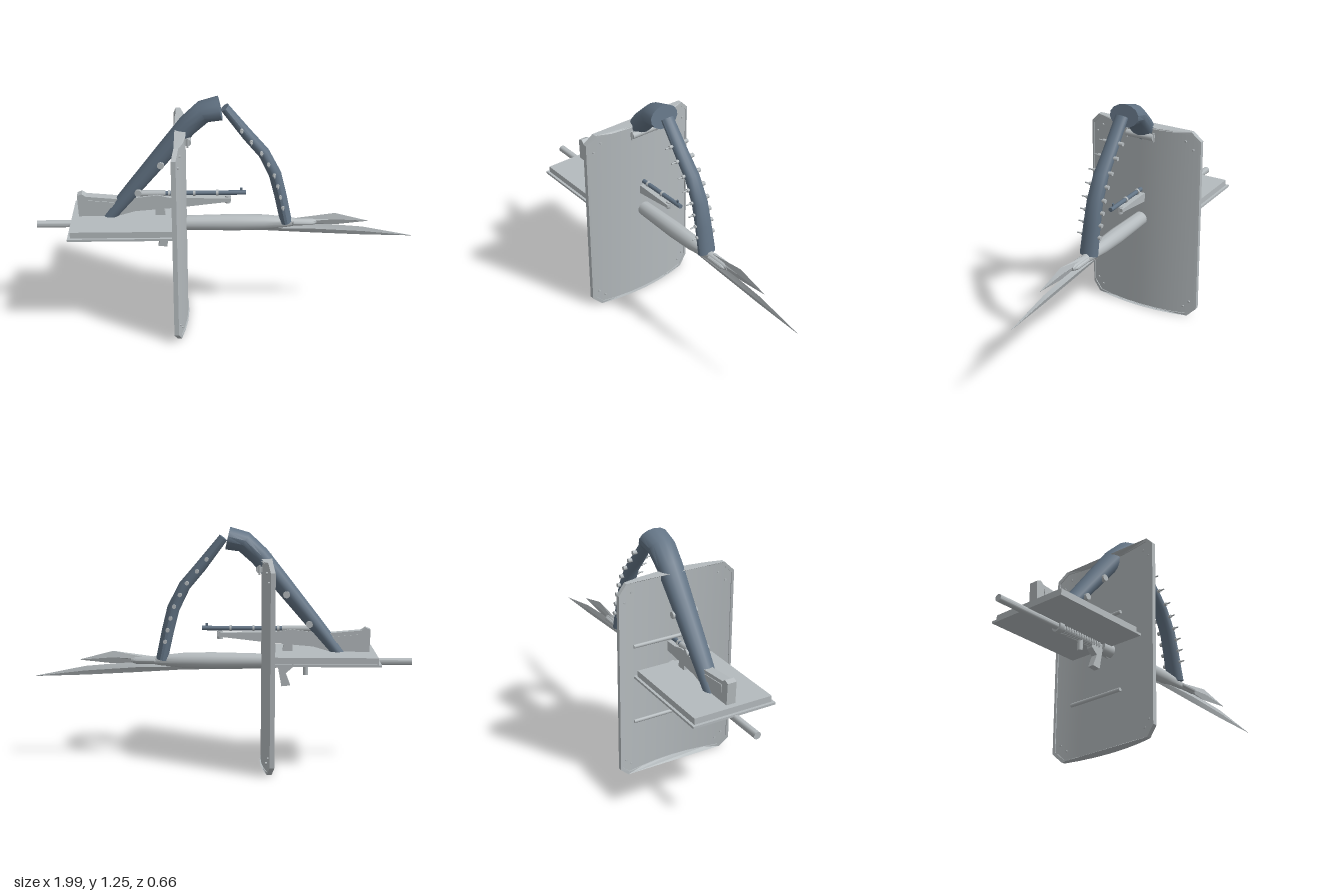
import * as THREE from 'three';
import { toCreasedNormals } from 'three/addons/utils/BufferGeometryUtils.js';

const steel = new THREE.MeshStandardMaterial({ color: 0xb4babd });
steel.name = 'pale steel';
const slate = new THREE.MeshStandardMaterial({ color: 0x627384 });
slate.name = 'slate blue';

const V = (x, y, z) => new THREE.Vector3(x, y, z);

function add(group, name, geometry, material, x = 0, y = 0, z = 0) {
  const mesh = new THREE.Mesh(geometry, material);
  mesh.name = name;
  mesh.position.set(x, y, z);
  group.add(mesh);
  return mesh;
}

// Joins equal-sized rings of points into a capped solid facing outward
function loft(rings, crease = 0.6) {
  const tris = [];
  const n = rings[0].length;
  for (let i = 0; i < rings.length - 1; i++) {
    for (let j = 0; j < n; j++) {
      const k = (j + 1) % n;
      const a = rings[i][j], b = rings[i][k], c = rings[i + 1][k], d = rings[i + 1][j];
      tris.push([a, b, c], [a, c, d]);
    }
  }
  const first = rings[0], last = rings[rings.length - 1];
  for (let j = 1; j < n - 1; j++) {
    tris.push([first[0], first[j + 1], first[j]], [last[0], last[j], last[j + 1]]);
  }
  const o = first[0];
  const volume = tris.reduce((s, [a, b, c]) => s + a.clone().sub(o).dot(b.clone().sub(o).cross(c.clone().sub(o))), 0);
  if (volume < 0) tris.forEach((t) => t.reverse());
  const g = new THREE.BufferGeometry().setFromPoints(tris.flat());
  return toCreasedNormals(g, crease);
}

// Oval limb along points [x, y, radius in plane, radius in z]
function limb(points, sides = 14) {
  return loft(points.map(([x, y, r, rz], i) => {
    const p = points[Math.max(i - 1, 0)], q = points[Math.min(i + 1, points.length - 1)];
    const len = Math.hypot(q[0] - p[0], q[1] - p[1]);
    const nx = -(q[1] - p[1]) / len, ny = (q[0] - p[0]) / len;
    return Array.from({ length: sides }, (_, j) => {
      const a = (j / sides) * Math.PI * 2;
      return V(x + nx * r * Math.cos(a), y + ny * r * Math.cos(a), rz * Math.sin(a));
    });
  }));
}

// Blade with diamond section from [x, top, bottom, half thickness]
const blade = (s) => loft(s.map(([x, t, b, h]) =>
  [V(x, t, 0), V(x, (t + b) / 2, h), V(x, b, 0), V(x, (t + b) / 2, -h)]), 0.2);

// Turned part along x from [x, radius]
function turned(profile, sides = 16) {
  const g = new THREE.LatheGeometry(profile.map(([x, r]) => new THREE.Vector2(r, x)), sides);
  return toCreasedNormals(g.rotateZ(-Math.PI / 2), 0.6);
}

const rod = (r, length, axis, sides = 10) => {
  const g = new THREE.CylinderGeometry(r, r, length, sides);
  if (axis === 'z') g.rotateX(Math.PI / 2);
  if (axis === 'x') g.rotateZ(Math.PI / 2);
  return g;
};

// Flat side profile in x and y, given a thickness in z
function plate(points, depth) {
  const shape = new THREE.Shape(points.map(([x, y]) => new THREE.Vector2(x, y)));
  return new THREE.ExtrudeGeometry(shape, { depth, bevelEnabled: false }).translate(0, 0, -depth / 2);
}

// Outer face of the curved shield
const shieldX = (z) => -0.208 - 0.05 * (z / 0.33) ** 2;

function shield() {
  const g = new THREE.Group();
  g.name = 'shield';
  const H = 1.085, W = 0.33;
  const cut = (z, w, c) => Math.max(0, Math.abs(z) - (w - c));
  const zs = [-1, -0.85, -0.6, -0.3, 0, 0.3, 0.6, 0.85, 1];
  const panelW = W - 0.008;
  add(g, 'shieldPanel', loft(zs.map((t) => {
    const z = t * panelW, c = 0.008 + cut(z, panelW, 0.048), x = shieldX(z);
    return [V(x - 0.003, H - c, z), V(x - 0.003, c, z), V(x - 0.017, c, z), V(x - 0.017, H - c, z)];
  })), steel);

  // Raised rim, bent to the curve of the panel
  const outline = (inset) => {
    const w = W - inset, c = 0.05;
    const row = zs.map((t) => t * w);
    const edge = (z) => inset + cut(z, w, c);
    return [...row.map((z) => new THREE.Vector2(z, edge(z))),
      ...row.reverse().map((z) => new THREE.Vector2(z, H - edge(z)))];
  };
  const frame = new THREE.Shape(outline(0));
  frame.holes.push(new THREE.Path(outline(0.012)));
  const rim = new THREE.ExtrudeGeometry(frame, { depth: 0.024, bevelEnabled: false });
  rim.rotateY(-Math.PI / 2);
  const p = rim.attributes.position;
  for (let i = 0; i < p.count; i++) p.setX(i, p.getX(i) + shieldX(p.getZ(i)) + 0.002);
  rim.computeVertexNormals();
  add(g, 'shieldRim', rim, steel);

  // Corner rivets and rear grips
  for (const side of [-1, 1]) {
    for (const [z, y] of [[0.29, 0.985], [0.25, 1.03], [0.29, 0.09], [0.257, 0.057]]) {
      add(g, 'rivet', rod(0.006, 0.026, 'x', 8), steel, shieldX(z) - 0.009, y, side * z);
    }
  }
  for (const y of [0.73, 0.3]) add(g, 'gripBar', rod(0.01, 0.33, 'z'), steel, -0.25, y, -0.07);
  return g;
}

function spear() {
  const g = new THREE.Group();
  g.name = 'spear';
  const y = 0.543;
  add(g, 'spearShaft', turned([[-1, 0], [-1, 0.019], [-0.25, 0.019], [-0.25, 0]]), steel, 0, y);
  add(g, 'spearCollar', rod(0.03, 0.03, 'x', 14), steel, -0.6, y);
  for (let i = 0; i < 14; i++) add(g, 'gripRing', rod(0.025, 0.009, 'x', 14), steel, -0.56 + i * 0.018, y);
  add(g, 'spearBody', turned([[-0.3, 0], [-0.3, 0.036], [-0.2, 0.039], [0.05, 0.044], [0.2, 0.04],
    [0.33, 0.026], [0.36, 0.02], [0.45, 0.02], [0.475, 0.012], [0.475, 0]], 18), steel, 0, y);
  for (const z of [-0.018, 0.018]) {
    add(g, 'headClamp', turned([[0.34, 0], [0.35, 0.012], [0.45, 0.012], [0.47, 0]], 10), steel, 0, y, z);
  }
  add(g, 'upperBlade', blade([[0.33, 0.56, 0.53, 0.012], [0.57, 0.592, 0.525, 0.009], [0.745, 0.546, 0.543, 0.001]]), steel);
  add(g, 'lowerBlade', blade([[-0.25, 0.53, 0.502, 0.008], [0.2, 0.53, 0.494, 0.012], [0.45, 0.535, 0.478, 0.012],
    [0.72, 0.51, 0.463, 0.007], [0.985, 0.456, 0.454, 0.001]]), steel);
  return g;
}

function arch() {
  const g = new THREE.Group();
  g.name = 'arch';
  add(g, 'thickLimb', limb([[-0.63, 0.57, 0.033, 0.045], [-0.5, 0.73, 0.04, 0.053], [-0.32, 0.95, 0.048, 0.062],
    [-0.2, 1.095, 0.053, 0.07], [-0.12, 1.168, 0.056, 0.076], [-0.035, 1.187, 0.06, 0.084]]), slate);
  const path = [[-0.012, 1.19, 0.024, 0.036], [0.105, 1.04, 0.03, 0.039], [0.19, 0.94, 0.031, 0.042],
    [0.25, 0.82, 0.033, 0.045], [0.28, 0.7, 0.032, 0.048], [0.312, 0.55, 0.031, 0.052]];
  add(g, 'thinLimb', limb(path), slate);

  // Pegs down both sides of the thin limb
  for (let i = 0; i < 8; i++) {
    const y = 1.08 - i * 0.0615;
    const k = path.findIndex((q) => q[1] < y);
    const [a, b] = [path[k - 1], path[k]];
    const x = a[0] + (b[0] - a[0]) * (a[1] - y) / (a[1] - b[1]);
    add(g, 'peg', rod(0.011, 0.06, 'z'), steel, x, y, -0.03);
    add(g, 'pegCollar', rod(0.009, 0.055, 'z'), steel, x, y, 0.0275);
    add(g, 'pegPin', rod(0.004, 0.08, 'z', 8), steel, x, y, 0.04);
  }
  // Cross bolts through the thick limb
  for (const [x, y, half] of [[-0.34, 0.9, 0.07], [-0.46, 0.745, 0.065], [-0.2, 1.03, 0.08]]) {
    add(g, 'crossBolt', rod(0.018, half * 2, 'z', 12), steel, x, y);
  }
  for (const z of [-0.08, 0.08]) add(g, 'boltToggle', rod(0.005, 0.05, 'y', 8), steel, -0.2, 1.03, z);
  return g;
}

function rifle() {
  const g = new THREE.Group();
  g.name = 'rifle';
  add(g, 'stock', plate([[-0.775, 0.59], [-0.78, 0.715], [-0.755, 0.725], [-0.735, 0.71], [-0.57, 0.695], [-0.48, 0.7],
    [-0.36, 0.715], [-0.3, 0.7], [0.02, 0.693], [0.02, 0.675], [-0.26, 0.643], [-0.48, 0.625], [-0.6, 0.59]], 0.05), steel);
  for (const z of [-0.026, 0.026]) {
    add(g, 'stockInlay', plate([[-0.73, 0.645], [-0.73, 0.69], [-0.56, 0.675], [-0.53, 0.645]], 0.006), steel, 0, 0, z);
  }
  add(g, 'receiver', rod(0.017, 0.16, 'x', 12), steel, -0.4, 0.715);
  add(g, 'barrel', rod(0.012, 0.45, 'x', 12), slate, -0.125, 0.716);
  for (const x of [-0.3, -0.17, -0.05]) add(g, 'barrelBand', rod(0.016, 0.012, 'x', 12), steel, x, 0.716);
  add(g, 'frontSight', new THREE.BoxGeometry(0.012, 0.026, 0.006), slate, 0.075, 0.73);
  add(g, 'foreEndCap', rod(0.016, 0.04, 'y'), steel, 0.005, 0.68);
  add(g, 'handGrip', plate([[-0.375, 0.635], [-0.33, 0.64], [-0.315, 0.56], [-0.298, 0.52], [-0.318, 0.41],
    [-0.365, 0.415], [-0.34, 0.48], [-0.375, 0.51]], 0.035), steel);
  add(g, 'magazineStud', rod(0.014, 0.1, 'y'), steel, -0.445, 0.52);
  return g;
}

export function createModel() {
  const model = new THREE.Group();
  model.name = 'weaponRack';
  model.add(shield(), spear(), arch(), rifle());
  // Slab on a slightly wider base
  const slab = new THREE.Group();
  slab.name = 'slab';
  add(slab, 'slabBase', new THREE.BoxGeometry(0.57, 0.012, 0.464), steel, -0.535, 0.559, -0.003);
  add(slab, 'slabTop', new THREE.BoxGeometry(0.54, 0.034, 0.436), steel, -0.535, 0.581, -0.003);
  model.add(slab);
  return model;
}
